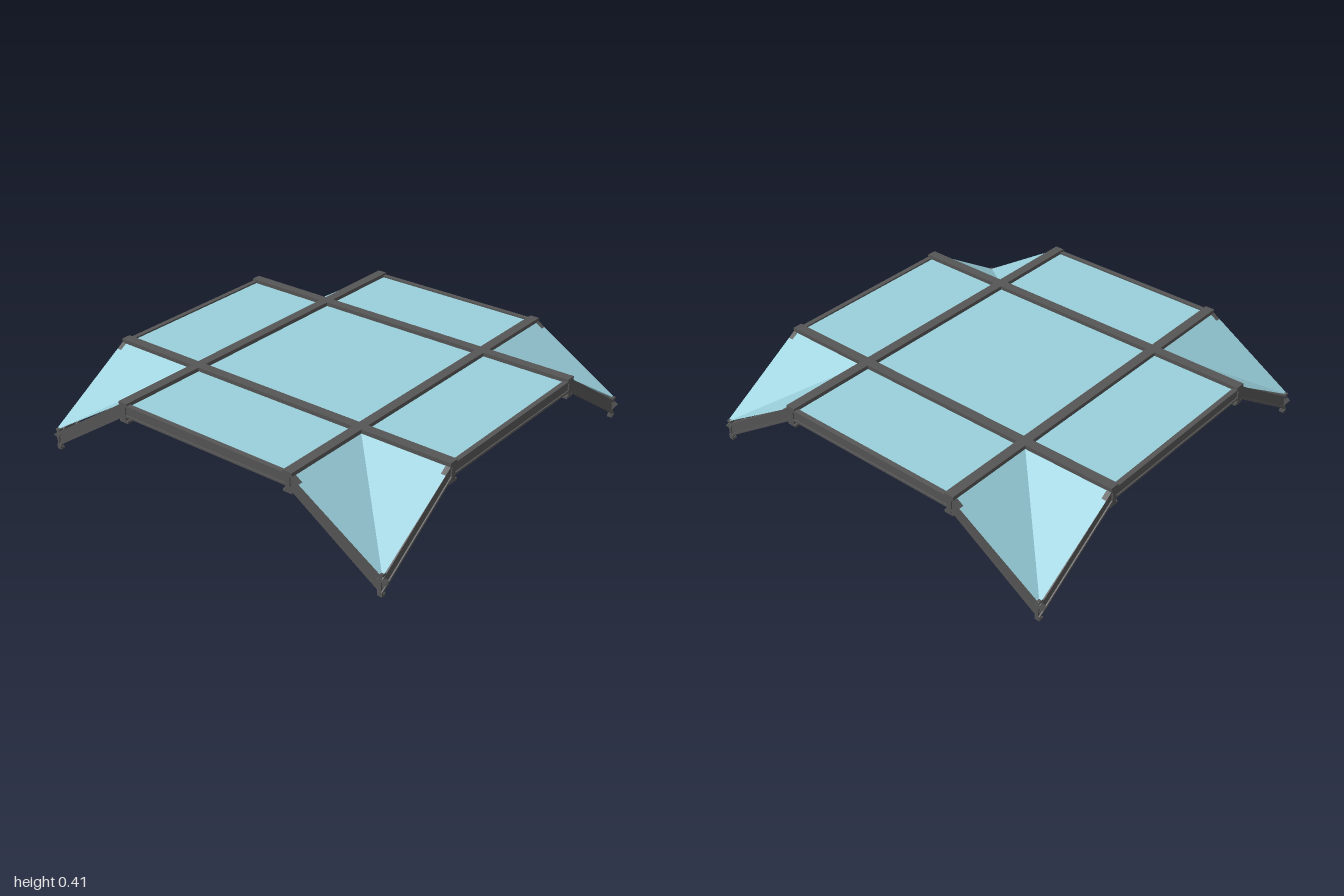
import * as THREE from 'three';

const steel = new THREE.MeshStandardMaterial({ color: 0x565656, flatShading: true });
const glass = new THREE.MeshStandardMaterial({ color: 0x9ad0dc, flatShading: true, side: THREE.DoubleSide });

const EDGE = 0.978;   // half size of the roof
const BEAM = 0.485;   // offset of the main beams
const FOLD = 0.51;    // where the corners start to drop
const GLASS_Y = 0.392;

function box(parent, name, size, pos) {
  const m = new THREE.Mesh(new THREE.BoxGeometry(...size), steel);
  m.position.set(...pos);
  m.name = name;
  parent.add(m);
}

// Straight I-beam along x, full length of the roof
function mainBeam() {
  const g = new THREE.Group();
  g.name = 'mainBeam';
  const L = EDGE * 2;
  box(g, 'topFlange', [L, 0.022, 0.05], [0, 0.401, 0]);
  box(g, 'web', [L, 0.074, 0.026], [0, 0.355, 0]);
  box(g, 'bottomFlange', [L, 0.012, 0.05], [0, 0.316, 0]);
  return g;
}

// Bent I-beam: level in the middle, sloping to the corners at both ends
function edgeBeam(verticalCut) {
  const g = new THREE.Group();
  g.name = 'edgeBeam';
  const nx = 0.5526, ny = 0.8334, top = 0.4, slope = nx / ny;
  // Points on the line lying d below the top of the beam
  const line = d => {
    const bend = [0.5 - d * (1 - ny) / nx, top - d];
    const end = verticalCut
      ? [EDGE, top - slope * (EDGE - 0.5) - d / ny]
      : [0.995 - nx * d, top - slope * 0.495 - ny * d];
    return [[-end[0], end[1]], [-bend[0], bend[1]], bend, end];
  };
  const layers = [['topFlange', 0, 0.01, 0.025], ['web', 0.01, 0.05, 0.012], ['bottomFlange', 0.05, 0.06, 0.025]];
  for (const [name, d0, d1, width] of layers) {
    const outline = [...line(d1), ...line(d0).reverse()].map(p => new THREE.Vector2(...p));
    const geo = new THREE.ExtrudeGeometry(new THREE.Shape(outline), { depth: width, bevelEnabled: false });
    geo.translate(0, 0, -width / 2);
    const m = new THREE.Mesh(geo, steel);
    m.name = name;
    g.add(m);
  }
  return g;
}

// Level cross-shaped glazing
function roofGlass() {
  const a = FOLD, b = EDGE;
  const pts = [[a, a], [b, a], [b, -a], [a, -a], [a, -b], [-a, -b], [-a, -a], [-b, -a], [-b, a], [-a, a], [-a, b], [a, b]];
  const geo = new THREE.ShapeGeometry(new THREE.Shape(pts.map(p => new THREE.Vector2(...p))));
  geo.rotateX(-Math.PI / 2);
  const m = new THREE.Mesh(geo, glass);
  m.position.y = GLASS_Y;
  m.name = 'roofGlass';
  return m;
}

// Two triangular panes folded down to one corner
function cornerGlass(sx, sz) {
  const A = [sx * FOLD, GLASS_Y, sz * FOLD];
  const B = [sx * EDGE, GLASS_Y, sz * FOLD];
  const C = [sx * EDGE, 0.1, sz * EDGE];
  const D = [sx * FOLD, GLASS_Y, sz * EDGE];
  const tris = sx * sz > 0 ? [A, C, B, A, D, C] : [A, B, C, A, C, D];
  const geo = new THREE.BufferGeometry();
  geo.setAttribute('position', new THREE.Float32BufferAttribute(tris.flat(), 3));
  geo.computeVertexNormals();
  const m = new THREE.Mesh(geo, glass);
  m.name = 'cornerGlass';
  return m;
}

export function createModel() {
  const root = new THREE.Group();
  root.name = 'glassRoof';
  root.add(roofGlass());

  for (const s of [-1, 1]) {
    // Crossing main beams
    const across = mainBeam();
    across.position.z = s * BEAM;
    const along = mainBeam();
    along.rotation.y = Math.PI / 2;
    along.position.x = s * BEAM;
    along.position.y = -0.0005;
    root.add(across, along);

    // Bent beams around the rim
    const rim = edgeBeam(false);
    rim.position.z = s * (EDGE - 0.0125);
    const sideRim = edgeBeam(true);
    sideRim.rotation.y = Math.PI / 2;
    sideRim.position.x = s * (EDGE - 0.0125);
    root.add(rim, sideRim);

    // Folded corners with small end posts
    for (const t of [-1, 1]) {
      root.add(cornerGlass(s, t));
      const x = s * (EDGE - 0.0125), z = t * (EDGE - 0.0125);
      box(root, 'cornerPost', [0.012, 0.1, 0.02], [x, 0.053, z]);
      box(root, 'cornerCap', [0.025, 0.012, 0.024], [x, 0.103, z]);
      box(root, 'cornerFoot', [0.025, 0.012, 0.024], [x, 0.006, z]);
    }
  }
  return root;
}
